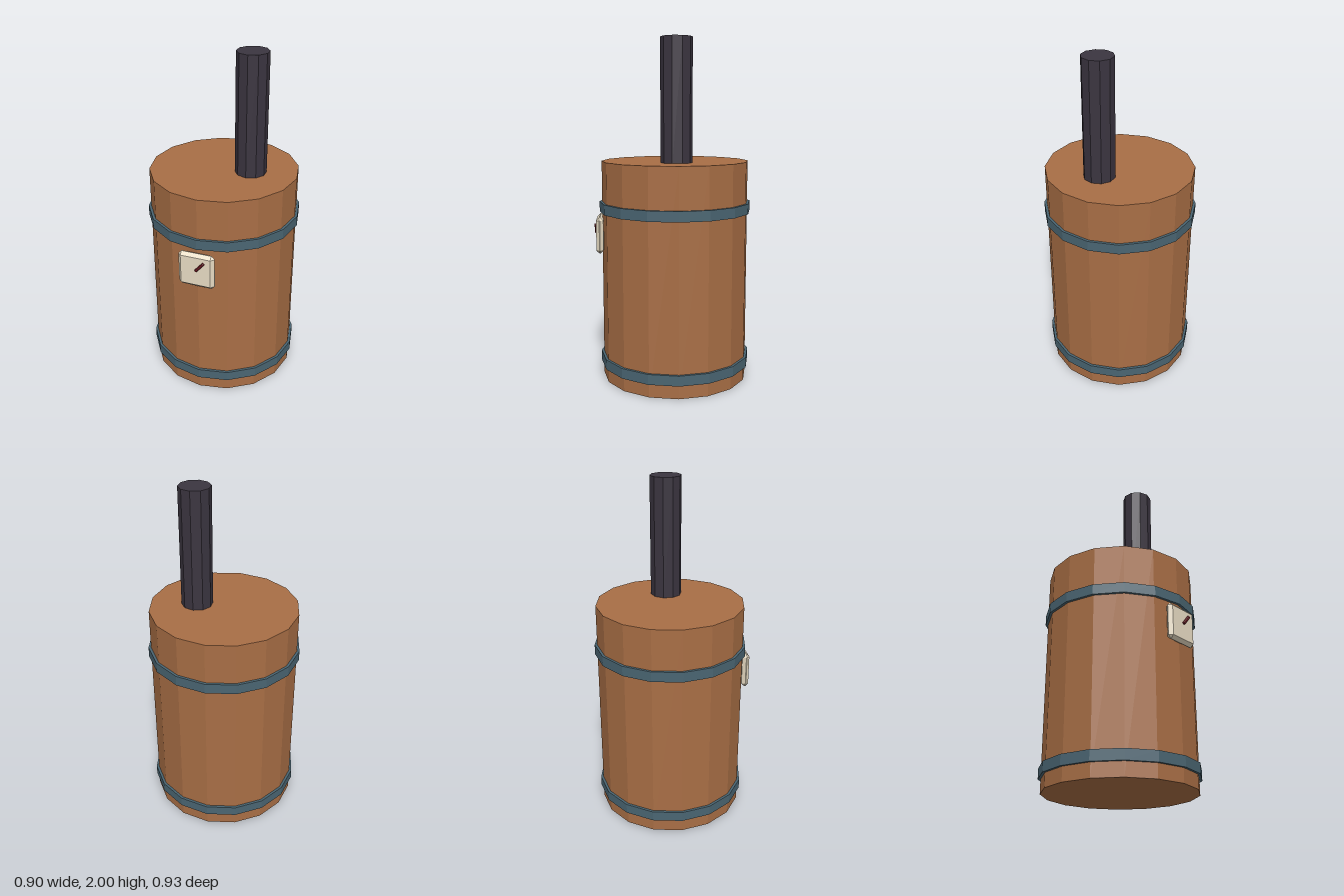
import * as THREE from 'three';
import { ConvexGeometry } from 'three/addons/geometries/ConvexGeometry.js';

const mat = (color) => new THREE.MeshStandardMaterial({ color, flatShading: true });
const AXIS_Z = -0.015;

// Faceted upright drum from y0 to y1
function drum(name, radius, y0, y1, sides, material, x = 0) {
  const mesh = new THREE.Mesh(new THREE.CylinderGeometry(radius, radius, y1 - y0, sides), material);
  mesh.name = name;
  mesh.position.set(x, (y0 + y1) / 2, AXIS_Z);
  return mesh;
}

// Box with every edge chamfered by c
function chamferBox(name, w, h, d, c, material) {
  const points = [];
  for (const sx of [-1, 1]) for (const sy of [-1, 1]) for (const sz of [-1, 1]) {
    for (const [ix, iy, iz] of [[0, c, c], [c, 0, c], [c, c, 0]]) {
      points.push(new THREE.Vector3(sx * (w / 2 - ix), sy * (h / 2 - iy), sz * (d / 2 - iz)));
    }
  }
  const mesh = new THREE.Mesh(new ConvexGeometry(points), material);
  mesh.name = name;
  return mesh;
}

export function createModel() {
  const model = new THREE.Group();
  model.name = 'boiler';
  const bandMaterial = mat(0x4a6572);

  // Tank, hoops and chimney
  model.add(drum('tank', 0.433, 0, 1.3, 16, mat(0xa86e45)));
  model.add(drum('lowerBand', 0.448, 0.08, 0.14, 16, bandMaterial));
  model.add(drum('upperBand', 0.448, 1.0, 1.06, 16, bandMaterial));
  model.add(drum('chimney', 0.091, 1.28, 2, 10, mat(0x3b3540), 0.161));

  // Gauge plate with slanted needle
  const gauge = new THREE.Group();
  gauge.name = 'gauge';
  gauge.position.set(0, 0.868, 0.43);
  const plate = chamferBox('gaugePlate', 0.214, 0.216, 0.042, 0.019, mat(0xe8dcc4));
  const needle = chamferBox('gaugeNeedle', 0.016, 0.078, 0.016, 0.004, mat(0x7a2029));
  needle.position.set(0.026, 0.034, 0.024);
  needle.rotation.z = -0.7;
  gauge.add(plate, needle);
  model.add(gauge);

  return model;
}
